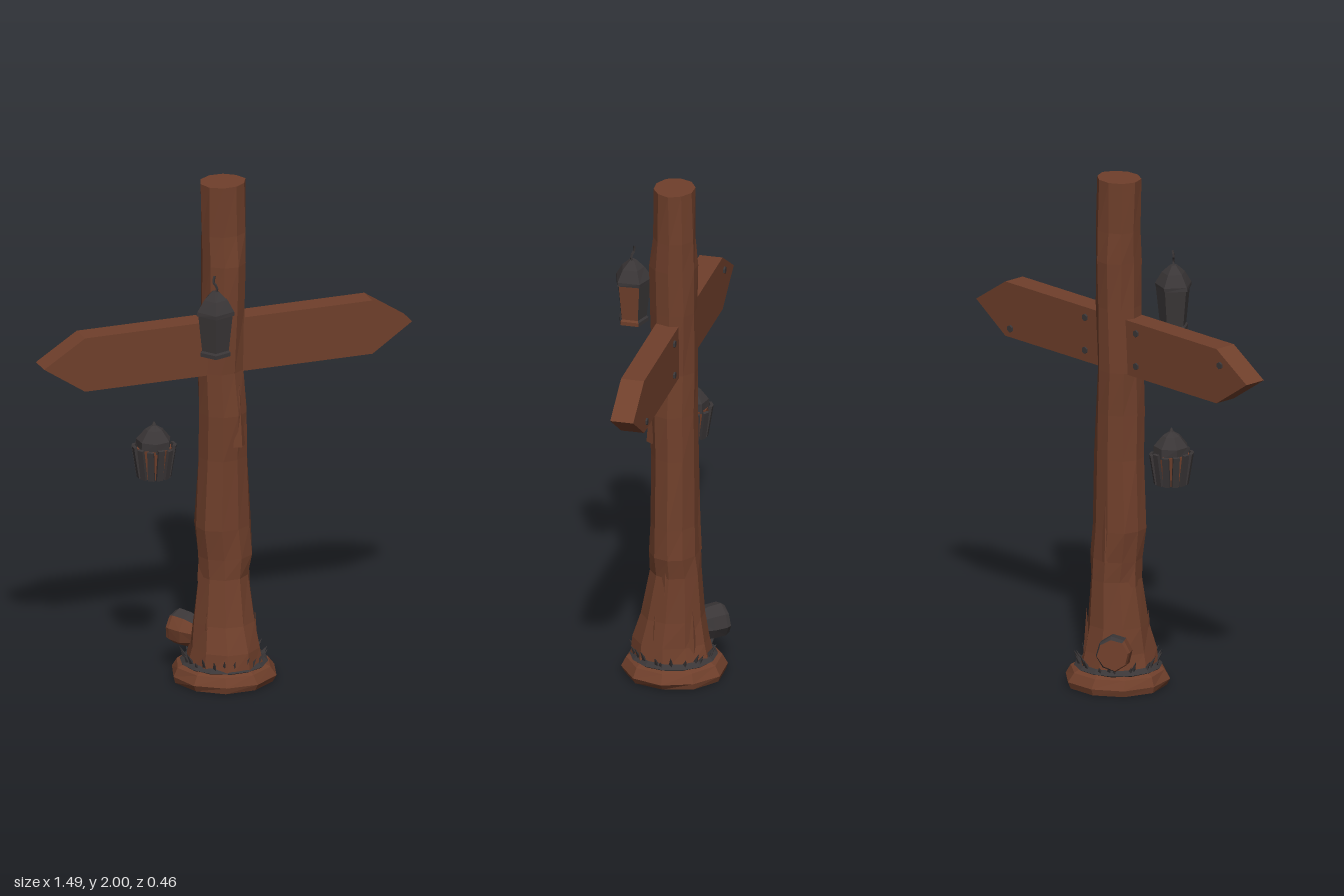
import * as THREE from 'three';

const flat = (name, color) => {
  const m = new THREE.MeshStandardMaterial({ color, flatShading: true });
  m.name = name;
  return m;
};

// Small repeatable noise in -1..1
const noise = (a, b) => {
  const s = Math.sin(a * 127.1 + b * 311.7) * 43758.5453;
  return (s - Math.floor(s)) * 2 - 1;
};

// Faceted skin over rings [y, xMin, xMax, zMin, zMax], capped at both ends.
// pick(side) chooses the material slot of a side; caps use slot 1.
function loft(rings, sides, { jitter = 0, phase = 0, pick = () => 0 } = {}) {
  const point = (i, j) => {
    const [y, x0, x1, z0, z1] = rings[j];
    const a = phase + ((i % sides) / sides) * Math.PI * 2;
    const k = 1 + jitter * noise((i % sides) + 1, j + 1);
    return [(x0 + x1) / 2 + Math.cos(a) * k * (x1 - x0) / 2, y,
      (z0 + z1) / 2 + Math.sin(a) * k * (z1 - z0) / 2];
  };
  const centre = (j) => [(rings[j][1] + rings[j][2]) / 2, rings[j][0], (rings[j][3] + rings[j][4]) / 2];
  const pos = [], geo = new THREE.BufferGeometry(), last = rings.length - 1;
  for (let i = 0; i < sides; i++) {
    const start = pos.length / 3;
    for (let j = 0; j < last; j++) {
      const a = point(i, j), b = point(i + 1, j), c = point(i, j + 1), d = point(i + 1, j + 1);
      pos.push(...a, ...c, ...b, ...b, ...c, ...d);
    }
    geo.addGroup(start, pos.length / 3 - start, pick(i));
  }
  const start = pos.length / 3;
  for (let i = 0; i < sides; i++) {
    pos.push(...centre(last), ...point(i + 1, last), ...point(i, last));
    pos.push(...centre(0), ...point(i, 0), ...point(i + 1, 0));
  }
  geo.addGroup(start, pos.length / 3 - start, 1);
  geo.setAttribute('position', new THREE.Float32BufferAttribute(pos, 3));
  geo.computeVertexNormals();
  return geo;
}

// Round rings from [y, radius] pairs
const round = (pairs) => pairs.map(([y, r]) => [y, -r, r, -r, r]);

export function createModel() {
  const model = new THREE.Group();
  model.name = 'signpost';
  const wood = flat('brown wood', 0x6f3f2b);
  const iron = flat('dark grey', 0x3a3637);
  const both = [iron, wood];
  const add = (parent, name, geo, mat, x = 0, y = 0, z = 0) => {
    const m = new THREE.Mesh(geo, mat);
    m.name = name;
    m.position.set(x, y, z);
    parent.add(m);
    return m;
  };
  const group = (name, x, y, z) => {
    const g = new THREE.Group();
    g.name = name;
    g.position.set(x, y, z);
    model.add(g);
    return g;
  };

  // Uneven trunk
  add(model, 'post', loft([
    [0.04, -0.15, 0.15, -0.18, 0.14],
    [0.14, -0.13, 0.13, -0.16, 0.13],
    [0.24, -0.12, 0.115, -0.145, 0.1],
    [0.42, -0.095, 0.1, -0.13, 0.065],
    [0.5, -0.107, 0.115, -0.125, 0.065],
    [0.62, -0.115, 0.105, -0.12, 0.065],
    [0.9, -0.1, 0.09, -0.115, 0.062],
    [1.08, -0.1, 0.088, -0.115, 0.07],
    [1.25, -0.105, 0.077, -0.115, 0.062],
    [1.5, -0.092, 0.08, -0.118, 0.062],
    [1.68, -0.09, 0.085, -0.115, 0.065],
    [1.8, -0.09, 0.085, -0.11, 0.052],
    [2, -0.09, 0.085, -0.107, 0.055],
  ], 10, { jitter: 0.05 }), wood);

  // Earthy foot
  add(model, 'foot', loft([
    [0, -0.19, 0.19, -0.22, 0.16],
    [0.025, -0.2, 0.205, -0.23, 0.17],
    [0.06, -0.185, 0.18, -0.21, 0.155],
    [0.08, -0.14, 0.14, -0.17, 0.13],
  ], 10, { jitter: 0.03 }), wood);

  // Long bark splinters and root ridges: angle, height, length
  [[0.1, 0.5, 0.4], [3.2, 0.55, 0.3], [1.2, 1.08, 0.25], [4.4, 0.7, 0.4], [1.3, 0.16, 0.25],
    [0.4, 0.15, 0.25], [2.5, 0.16, 0.28], [5.4, 0.17, 0.26]].forEach(([a, y, len]) => {
    const r = y < 0.3 ? 0.118 : 0.087;
    const s = add(model, 'barkSplinter', new THREE.ConeGeometry(0.03, len, 4), wood,
      Math.cos(a) * r, y, -0.027 + Math.sin(a) * r);
    s.scale.z = 0.6;
    s.rotation.y = Math.PI / 2 - a;
  });

  // Board pointed at both ends
  const outline = new THREE.Shape([[-0.745, 1.355], [-0.58, 1.245], [0.58, 1.245], [0.74, 1.355],
    [0.58, 1.46], [-0.58, 1.46]].map(([x, y]) => new THREE.Vector2(x, y)));
  add(model, 'signBoard', new THREE.ExtrudeGeometry(outline, { depth: 0.09, bevelEnabled: false }),
    wood, 0, 0, -0.063);

  // Nail heads on the back of the board
  [[0.55, 1.28], [-0.14, 1.42], [-0.14, 1.29], [-0.6, 1.4], [0.14, 1.42], [0.14, 1.29]].forEach(([x, y]) => {
    add(model, 'nail', new THREE.CylinderGeometry(0.014, 0.014, 0.008, 6), iron, x, y, -0.066)
      .rotation.x = Math.PI / 2;
  });

  // Upper lantern: tapered five-sided body, roof and bent spike
  const upper = group('upperLantern', -0.106, 0, 0.163);
  const phase = -Math.PI / 5;
  add(upper, 'lanternBody', loft(round([[1.38, 0.06], [1.395, 0.06], [1.402, 0.053], [1.55, 0.069]]),
    5, { phase, pick: (i) => (i === 0 ? 1 : 0) }), both);
  add(upper, 'lanternRoof', loft(round([[1.545, 0.073], [1.56, 0.072], [1.605, 0.047], [1.635, 0.014]]),
    5, { phase, jitter: 0.06 }), iron);
  const hook = new THREE.CatmullRomCurve3([[0, 1.62, 0], [0.006, 1.65, 0.004], [-0.005, 1.67, -0.004],
    [0, 1.695, -0.006]].map((p) => new THREE.Vector3(...p)));
  add(upper, 'lanternSpike', new THREE.TubeGeometry(hook, 6, 0.005, 4), iron);

  // Lower lantern: wooden cup ringed with flaring slats, domed lid
  const lower = group('lowerLantern', -0.285, 0, -0.018);
  add(lower, 'lanternCup', loft(round([[0.852, 0.056], [0.97, 0.068]]), 10), wood);
  add(lower, 'lanternLid', loft(round([[0.96, 0.066], [1.0, 0.066], [1.04, 0.035], [1.055, 0.01], [1.07, 0.003]]),
    7, { jitter: 0.05 }), iron);
  for (let i = 0; i < 12; i++) {
    const holder = new THREE.Group();
    holder.name = 'lanternSlat';
    holder.rotation.y = (i / 12) * Math.PI * 2;
    lower.add(holder);
    const h = 0.125 + 0.012 * noise(i, 3);
    add(holder, 'slat', new THREE.BoxGeometry(0.025, h, 0.012), iron, 0, 0.852 + h / 2, 0.069)
      .rotation.x = 0.16;
  }

  // Cut branch stub at the back, bare wood at the end
  const stub = add(model, 'branchStub', loft(round([[-0.08, 0.05], [-0.03, 0.066], [0.02, 0.068], [0.035, 0.06]]),
    8, { jitter: 0.05, pick: (i) => (i >= 2 && i <= 4 ? 1 : 0) }), both, -0.12, 0.17, -0.16);
  stub.quaternion.setFromUnitVectors(new THREE.Vector3(0, 1, 0), new THREE.Vector3(-0.6, 0.08, -0.8).normalize());

  // Dark growth around the foot with small blades
  const growth = add(model, 'growthRing', new THREE.TorusGeometry(0.148, 0.02, 4, 14), iron, 0, 0.072, -0.025);
  growth.rotation.x = Math.PI / 2;
  growth.scale.z = 0.8;
  for (let i = 0; i < 24; i++) {
    const a = (i / 24) * Math.PI * 2 + 0.1 * noise(i, 1);
    const h = 0.045 + 0.02 * noise(i, 2);
    const blade = add(model, 'grassBlade', new THREE.ConeGeometry(0.011, h, 3), iron,
      Math.cos(a) * 0.156, 0.075 + h / 2, -0.025 + Math.sin(a) * 0.156);
    blade.rotation.set(0.5 * Math.sin(a), 0, -0.5 * Math.cos(a));
  }
  return model;
}
